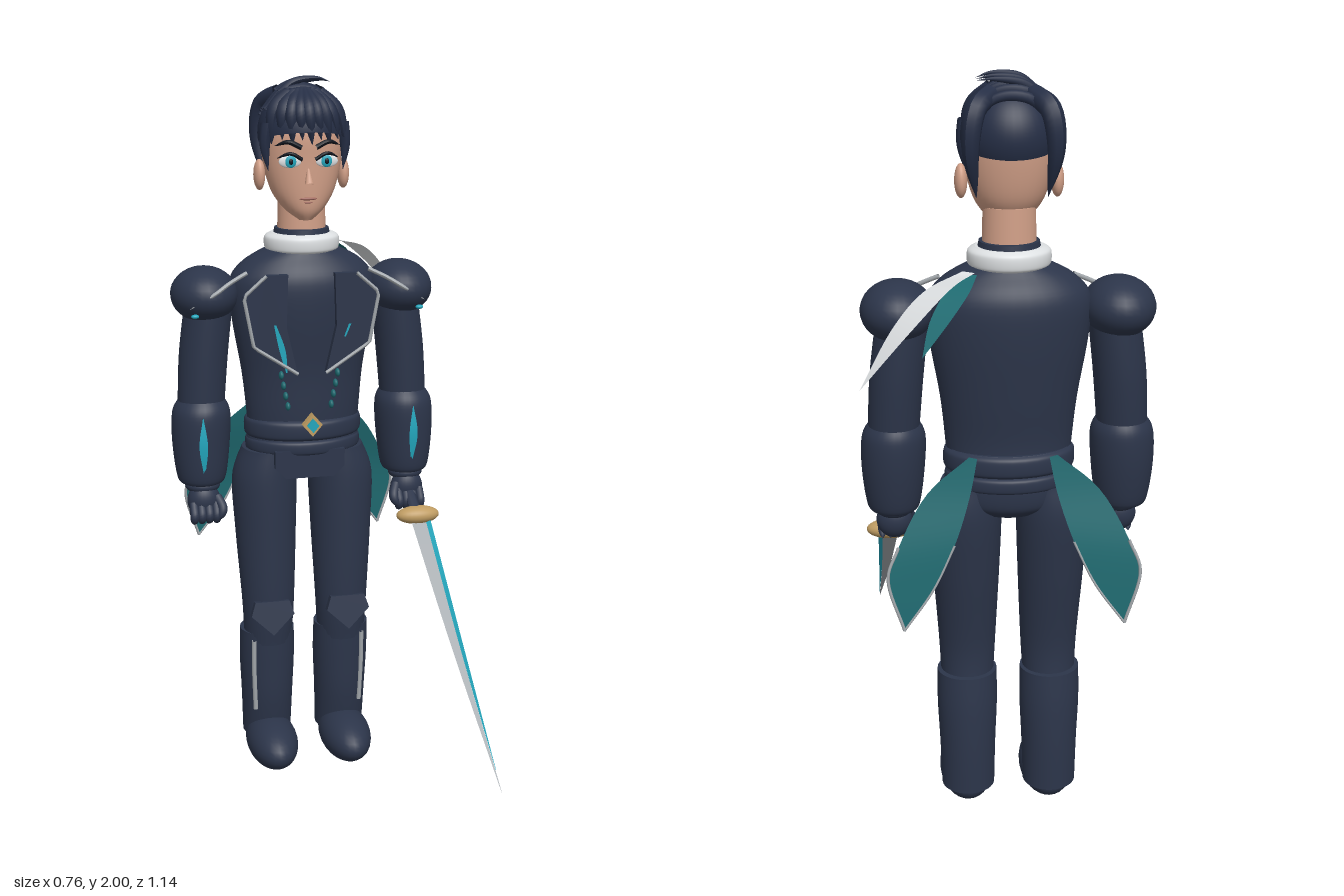
import * as THREE from 'three';

const mat = (name, color, side = THREE.DoubleSide) => {
  const m = new THREE.MeshStandardMaterial({ color, side });
  m.name = name;
  return m;
};

export function createModel() {
  const root = new THREE.Group();
  root.name = 'swordsman';
  const navy = mat('navy cloth', 0x2c354a), hair = mat('dark hair', 0x252e45), teal = mat('teal lining', 0x1f6a70);
  const cyan = mat('bright cyan', 0x22a6bc), white = mat('white trim', 0xdde0e2), silver = mat('silver', 0xa3a8ac);
  const gold = mat('gold', 0xbf9c62), skin = mat('skin', 0xd2a088), black = mat('brow black', 0x12161f);
  const lip = mat('lip', 0xa0665c);
  const V = (p) => new THREE.Vector3(...p);

  function add(name, geo, material, parent = root) {
    const m = new THREE.Mesh(geo, material);
    m.name = name;
    parent.add(m);
    return m;
  }
  // Ellipsoid at p with radii r
  function ball(name, material, p, r, parent = root) {
    const m = add(name, new THREE.SphereGeometry(1, 28, 18), material, parent);
    m.position.set(...p);
    m.scale.set(...r);
    return m;
  }
  // Stack of elliptical rings [y, x, z, rx, rz], smoothed along a curve, with flat caps
  function loft(name, material, rings, parent = root, seg = 32, steps = 28) {
    const at = (k) => new THREE.CatmullRomCurve3(rings.map(k), false, 'centripetal');
    const mid = rings.map((r) => r.slice());
    const pos = [], idx = [];
    const rows = [];
    const sub = Math.max(1, Math.round(steps / (mid.length - 1)));
    const cr = (a, b, c, d, t) => 0.5 * (2 * b + (c - a) * t + (2 * a - 5 * b + 4 * c - d) * t * t + (3 * b - a - 3 * c + d) * t * t * t);
    for (let i = 0; i < mid.length - 1; i++) {
      for (let s = 0; s < sub; s++) {
        const q = [mid[Math.max(0, i - 1)], mid[i], mid[i + 1], mid[Math.min(mid.length - 1, i + 2)]];
        rows.push(mid[i].map((_, k) => cr(q[0][k], q[1][k], q[2][k], q[3][k], s / sub)));
      }
    }
    rows.push(mid[mid.length - 1]);
    const ring = ([y, x, z, rx, rz]) => {
      for (let j = 0; j < seg; j++) {
        const a = (j / seg) * Math.PI * 2;
        pos.push(x + rx * Math.cos(a), y, z + rz * Math.sin(a));
      }
    };
    rows.forEach(ring);
    for (let i = 0; i < rows.length - 1; i++) for (let j = 0; j < seg; j++) {
      const a = i * seg + j, b = i * seg + (j + 1) % seg;
      idx.push(a, a + seg, b, b, a + seg, b + seg);
    }
    [rows[0], rows[rows.length - 1]].forEach((r, top) => {
      const base = pos.length / 3;
      ring(r);
      pos.push(r[1], r[0], r[2]);
      for (let j = 0; j < seg; j++) {
        const a = base + j, b = base + (j + 1) % seg;
        top ? idx.push(base + seg, b, a) : idx.push(base + seg, a, b);
      }
    });
    const g = new THREE.BufferGeometry();
    g.setAttribute('position', new THREE.Float32BufferAttribute(pos, 3));
    g.setIndex(idx);
    g.computeVertexNormals();
    return add(name, g, material, parent);
  }
  // Tube that tapers along its length; power 0 keeps it even
  function strand(name, material, pts, r, power = 2, parent = root, straight = false) {
    const c = new THREE.CatmullRomCurve3(pts.map(V), false, 'catmullrom', straight ? 0 : 0.5);
    const n = 20, k = 8, g = new THREE.TubeGeometry(c, n, r, k), p = g.attributes.position, v = new THREE.Vector3();
    for (let i = 0; i < p.count && power; i++) {
      const t = Math.floor(i / (k + 1)) / n, o = c.getPointAt(t);
      v.fromBufferAttribute(p, i).sub(o).multiplyScalar(Math.max(0.02, 1 - t ** power)).add(o);
      p.setXYZ(i, v.x, v.y, v.z);
    }
    g.computeVertexNormals();
    return add(name, g, material, parent);
  }
  // Thin sheet between two edge curves
  function ribbon(name, material, left, right, parent = root) {
    const a = new THREE.CatmullRomCurve3(left.map(V)), b = new THREE.CatmullRomCurve3(right.map(V));
    const n = 20, g = new THREE.PlaneGeometry(1, 1, 1, n), p = g.attributes.position;
    for (let i = 0; i <= n; i++) {
      p.setXYZ(i * 2, ...a.getPoint(i / n).toArray());
      p.setXYZ(i * 2 + 1, ...b.getPoint(i / n).toArray());
    }
    g.computeVertexNormals();
    return add(name, g, material, parent);
  }
  // Flat plate from an outline, facing +z
  function plate(name, material, pts, z, depth, parent = root) {
    const s = new THREE.Shape(pts.map(([x, y]) => new THREE.Vector2(x, y)));
    const m = add(name, new THREE.ExtrudeGeometry(s, { depth, bevelEnabled: false }), material, parent);
    m.position.z = z;
    return m;
  }

  // Jacket, belts and pelvis
  loft('jacket', navy, [[0.98, 0, -0.24, 0.155, 0.1], [1.08, 0, -0.235, 0.163, 0.1], [1.2, 0, -0.24, 0.175, 0.108],
    [1.35, 0, -0.24, 0.2, 0.122], [1.45, 0, -0.24, 0.205, 0.122], [1.505, 0, -0.24, 0.165, 0.1], [1.54, 0, -0.24, 0.1, 0.085]]);
  loft('pelvis', navy, [[0.89, 0, -0.245, 0.09, 0.075], [0.92, 0, -0.245, 0.155, 0.1], [0.98, 0, -0.24, 0.165, 0.11], [1.04, 0, -0.24, 0.155, 0.1]]);
  [[1.035, 0.168, 0.116, 0.03], [0.985, 0.165, 0.116, 0.022]].forEach(([y, rx, rz, h]) =>
    loft('belt', navy, [[y - h, 0, -0.24, rx - 0.012, rz - 0.012], [y - h * 0.6, 0, -0.24, rx, rz], [y + h * 0.6, 0, -0.24, rx, rz], [y + h, 0, -0.24, rx - 0.012, rz - 0.012]]));
  plate('front flap', navy, [[-0.1, 0.98], [-0.1, 0.93], [-0.07, 0.9], [0.07, 0.9], [0.1, 0.93], [0.1, 0.98]], -0.17, 0.04);
  plate('buckle rim', gold, [[0, 1.03], [0.028, 1.063], [0, 1.096], [-0.028, 1.063]], -0.115, 0.02);
  plate('buckle gem', cyan, [[0, 1.043], [0.017, 1.063], [0, 1.083], [-0.017, 1.063]], -0.095, 0.008);

  // Collar and neck
  loft('inner collar', navy, [[1.5, 0, -0.24, 0.095, 0.09], [1.595, 0, -0.24, 0.075, 0.075]]);
  loft('white collar', white, [[1.53, 0, -0.24, 0.09, 0.085], [1.54, 0, -0.24, 0.103, 0.097], [1.57, 0, -0.24, 0.103, 0.097], [1.582, 0, -0.24, 0.085, 0.082]]);
  loft('neck', skin, [[1.55, 0, -0.24, 0.068, 0.063], [1.68, 0, -0.24, 0.065, 0.06]]);

  // Head
  loft('head', skin, [[1.622, 0, -0.2, 0.022, 0.035], [1.65, 0, -0.21, 0.055, 0.06], [1.7, 0, -0.225, 0.088, 0.08],
    [1.78, 0, -0.233, 0.108, 0.09], [1.86, 0, -0.235, 0.108, 0.092], [1.93, 0, -0.24, 0.07, 0.07]]);
  strand('nose', skin, [[0, 1.722, -0.137], [0, 1.745, -0.143], [0, 1.78, -0.15]], 0.012, 1);
  ball('mouth', lip, [0, 1.682, -0.148], [0.024, 0.004, 0.004]);
  ball('lower lip', lip, [0, 1.672, -0.15], [0.014, 0.003, 0.004]);

  // Hair cap, fringe, crown and back locks
  const cap = add('hair cap', new THREE.SphereGeometry(1, 36, 20, 0, Math.PI * 2, 0, 1.72), hair);
  cap.position.set(0, 1.85, -0.243);
  cap.scale.set(0.118, 0.122, 0.122);
  cap.rotation.x = -0.22;
  for (let i = -4; i <= 4; i++) {
    const x = i * 0.024, z = -0.135 - 7 * x * x * 0.7;
    strand('fringe lock', hair, [[x * 0.4, 1.955, -0.2], [x * 0.9, 1.91, z - 0.005], [x * 1.06 + 0.008, 1.825 + 0.012 * (i & 1), z + 0.002]], 0.021, 3);
  }
  for (let i = 0; i < 6; i++) {
    const z = -0.2 - i * 0.024, h = 1.962 - 4 * (z + 0.25) ** 2;
    strand('crown lock', hair, [[-0.095, h - 0.055, z + 0.01], [-0.04, h, z], [0.04, h, z], [0.1, h - 0.06, z - 0.01]], 0.014, 4);
  }
  for (let i = 0; i < 3; i++) {
    const z = -0.23 - i * 0.03;
    strand('top tuft', hair, [[-0.06, 1.955, z], [-0.02, 1.985 - i * 0.004, z], [0.04, 1.993 - i * 0.004, z - 0.005], [0.08, 1.983, z - 0.01]], 0.011, 2);
  }

  // Sword in the left hand
  const sword = new THREE.Group();
  sword.name = 'sword';
  root.add(sword);
  ball('guard', gold, [0.31, 0.775, -0.1], [0.063, 0.026, 0.032], sword);
  strand('grip', navy, [[0.305, 0.78, -0.1], [0.298, 0.855, -0.2]], 0.017, 0, sword);
  ribbon('blade', silver, [[0.287, 0.765, -0.09], [0.315, 0.5, 0.24], [0.35, 0.243, 0.568]], [[0.33, 0.765, -0.09], [0.338, 0.5, 0.24], [0.351, 0.243, 0.568]], sword);
  ribbon('blade edge', cyan, [[0.33, 0.765, -0.09], [0.338, 0.5, 0.24], [0.35, 0.28, 0.52]], [[0.342, 0.77, -0.085], [0.346, 0.505, 0.245], [0.351, 0.28, 0.52]], sword);

  // Shoulder plumes trailing behind the left shoulder
  ribbon('white plume', white, [[0.09, 1.535, -0.33], [0.15, 1.525, -0.43], [0.25, 1.45, -0.53], [0.37, 1.325, -0.57]],
    [[0.12, 1.54, -0.33], [0.215, 1.51, -0.4], [0.29, 1.445, -0.475], [0.37, 1.325, -0.57]]);
  ribbon('teal plume', teal, [[0.085, 1.53, -0.33], [0.11, 1.505, -0.41], [0.16, 1.455, -0.48], [0.225, 1.385, -0.527]],
    [[0.13, 1.53, -0.33], [0.17, 1.5, -0.4], [0.205, 1.45, -0.46], [0.225, 1.385, -0.527]]);

  // Paired parts
  for (const s of [-1, 1]) {
    const side = new THREE.Group();
    side.name = s > 0 ? 'leftSide' : 'rightSide';
    root.add(side);
    const m = (pts) => pts.map(([x, ...r]) => [x * s, ...r]);
    const tower = (name, rings) => loft(name, navy, rings.map(([y, x, ...r]) => [y, x * s, ...r]), side);

    // Face
    ball('ear', skin, [0.117 * s, 1.74, -0.237], [0.016, 0.042, 0.025], side);
    ball('eye white', white, [0.05 * s, 1.782, -0.146], [0.031, 0.017, 0.006], side);
    ball('iris', cyan, [0.049 * s, 1.782, -0.141], [0.015, 0.016, 0.004], side);
    ball('pupil', black, [0.049 * s, 1.782, -0.138], [0.006, 0.008, 0.003], side);
    strand('upper lash', black, m([[0.018, 1.787, -0.139], [0.05, 1.803, -0.138], [0.085, 1.79, -0.155]]), 0.005, 4, side);
    strand('brow', black, m([[0.02, 1.818, -0.14], [0.055, 1.833, -0.143], [0.09, 1.822, -0.16]]), 0.007, 3, side);
    strand('temple lock', hair, m([[0.103, 1.88, -0.19], [0.11, 1.82, -0.187], [0.103, 1.755, -0.18]]), 0.018, 2, side);
    strand('back lock', hair, m([[0.05, 1.95, -0.29], [0.088, 1.92, -0.345], [0.1, 1.83, -0.355], [0.085, 1.715, -0.325]]), 0.026, 3, side);

    // Arm
    ball('shoulder pad', navy, [0.277 * s, 1.42, -0.23], [0.093, 0.077, 0.112], side);
    tower('upper arm', [[1.08, 0.295, -0.225, 0.065, 0.068], [1.25, 0.283, -0.23, 0.068, 0.075], [1.42, 0.262, -0.23, 0.066, 0.075]]);
    tower('forearm', [[0.885, 0.298, -0.215, 0.048, 0.05], [0.9, 0.298, -0.215, 0.068, 0.074], [1.0, 0.297, -0.22, 0.081, 0.086], [1.09, 0.294, -0.222, 0.081, 0.086], [1.13, 0.292, -0.225, 0.06, 0.066]]);
    ribbon('forearm stripe', cyan, m([[0.3, 1.09, -0.134], [0.29, 1.01, -0.129], [0.298, 0.925, -0.138]]), m([[0.302, 1.09, -0.134], [0.314, 1.01, -0.129], [0.302, 0.925, -0.138]]), side);
    ball('cuff', navy, [0.298 * s, 0.88, -0.2], [0.05, 0.026, 0.046], side);
    ball('palm', navy, [0.298 * s, 0.838, -0.182], [0.047, 0.05, 0.036], side);
    for (let i = 0; i < 4; i++) {
      const x = 0.267 + i * 0.021;
      strand('finger', navy, m([[x, 0.835, -0.165], [x, 0.8, -0.142], [x, 0.775, -0.165]]), 0.013, 6, side);
    }
    strand('thumb', navy, m([[0.262, 0.85, -0.17], [0.25, 0.82, -0.145], [0.265, 0.79, -0.135]]), 0.014, 6, side);
    strand('shoulder piping', silver, m([[0.17, 1.486, -0.155], [0.22, 1.462, -0.138], [0.265, 1.435, -0.123], [0.33, 1.395, -0.138]]), 0.006, 5, side);
    ball('shoulder stud', cyan, [0.315 * s, 1.375, -0.142], [0.011, 0.006, 0.008], side);

    // Lapel with piping and chest accents
    const lapel = [[0.065, 1.485], [0.125, 1.485], [0.188, 1.43], [0.162, 1.29], [0.04, 1.21], [0.07, 1.34]];
    plate('lapel', navy, m(lapel), -0.125, 0.02, side);
    strand('lapel piping', silver, m(lapel.slice(1, 5).map(([x, y]) => [x, y, -0.103])), 0.005, 0, side, true);
    ribbon('chest accent', cyan, m([[0.106, 1.35, -0.102], [0.092, 1.28, -0.102], [0.073, 1.215, -0.102]]), m([[0.1, 1.35, -0.102], [0.075, 1.28, -0.102], [0.069, 1.215, -0.102]]), side).visible = s < 0;
    if (s > 0) ribbon('chest accent', cyan, [[0.11, 1.345, -0.102], [0.095, 1.31, -0.102]], [[0.103, 1.345, -0.102], [0.09, 1.31, -0.102]], side);
    for (let i = 0; i < 4; i++) ball('waist accent', teal, [(0.08 - i * 0.006) * s, 1.2 - i * 0.03, -0.138], [0.007, 0.012, 0.012], side);

    // Leg and boot
    tower('trouser leg', [[0.38, 0.111, -0.222, 0.07, 0.07], [0.5, 0.11, -0.215, 0.076, 0.074], [0.72, 0.112, -0.232, 0.088, 0.09], [0.88, 0.112, -0.243, 0.093, 0.098], [0.97, 0.1, -0.243, 0.075, 0.09]]);
    tower('boot shaft', [[0.07, 0.112, -0.25, 0.072, 0.07], [0.2, 0.112, -0.24, 0.076, 0.08], [0.32, 0.112, -0.235, 0.081, 0.08], [0.415, 0.112, -0.229, 0.08, 0.076]]);
    ball('foot', navy, [0.112 * s, 0.069, -0.167], [0.075, 0.069, 0.143], side);
    strand('boot piping', silver, m([[0.162, 0.395, -0.167], [0.162, 0.3, -0.17], [0.158, 0.17, -0.176]]), 0.007, 0, side);
    const knee = plate('knee guard', navy, [[-0.05, 0.1], [-0.063, 0.06], [0, 0], [0.063, 0.06], [0.05, 0.1]], 0, 0.025, side);
    knee.position.set(0.112 * s, 0.425, -0.138);
    knee.rotation.x = -0.2;

    // Coat tail with piped rim
    const outer = m([[0.11, 1.08, -0.375], [0.215, 0.99, -0.385], [0.29, 0.86, -0.415], [0.318, 0.775, -0.43], [0.28, 0.64, -0.437]]);
    const inner = m([[0.09, 1.075, -0.375], [0.11, 0.98, -0.39], [0.15, 0.86, -0.415], [0.205, 0.745, -0.425], [0.28, 0.64, -0.437]]);
    ribbon('coat tail', teal, outer, inner, side);
    strand('tail piping', silver, outer.slice(2), 0.004, 0, side);
    strand('tail inner piping', silver, inner.slice(2), 0.003, 0, side);
  }
  return root;
}
